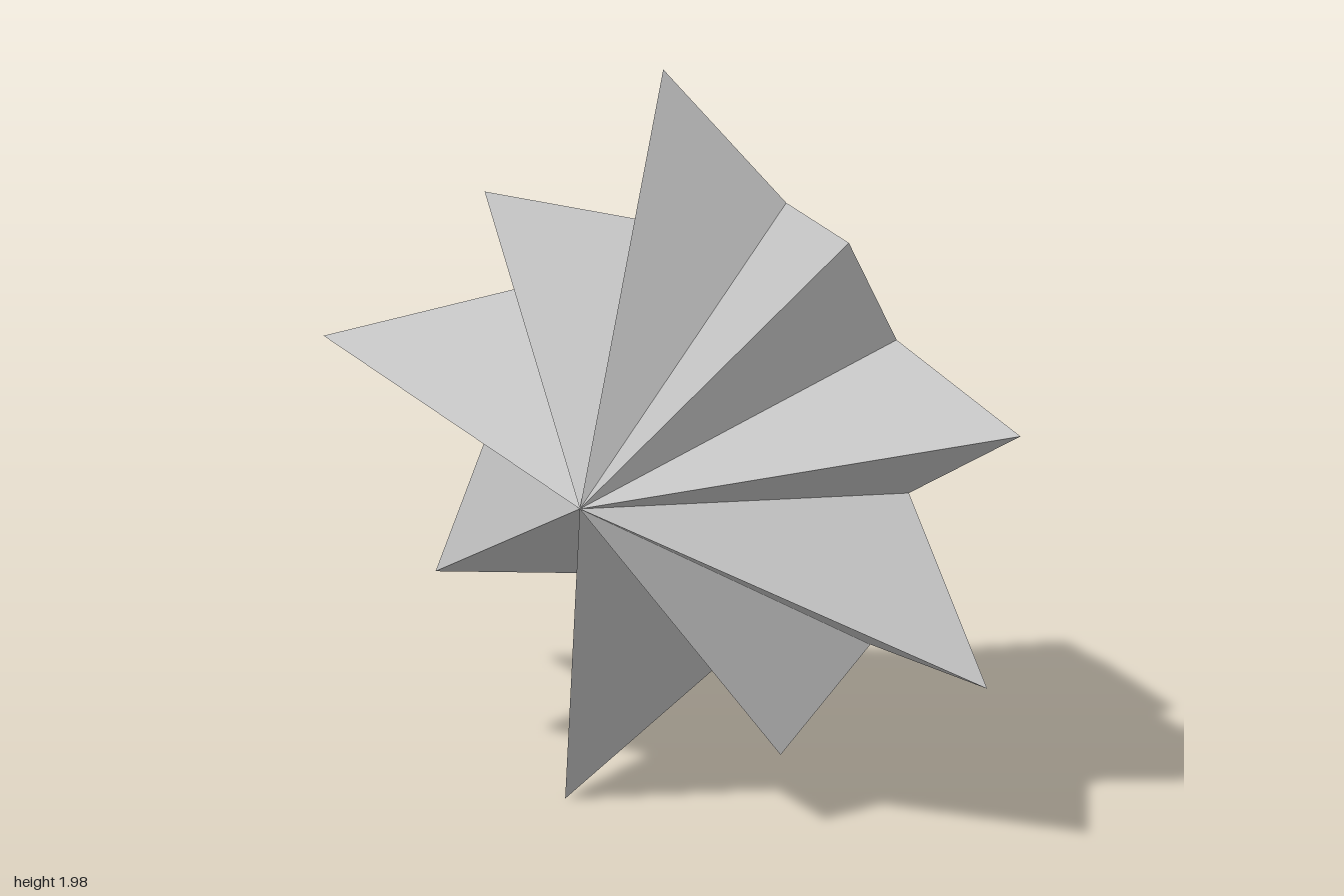
import * as THREE from 'three';

export function createModel() {
  const group = new THREE.Group();
  group.name = 'facetedStar';
  const grey = new THREE.MeshStandardMaterial({ color: 0xc0c0c0 });
  grey.name = 'grey';
  grey.flatShading = true;

  // Uneven outline, counter-clockwise from the top: tip, valley, tip, valley...
  const outline = [
    [-0.03, 1.98], [-0.205, 1.49], [-0.54, 1.57], [-0.54, 1.255],
    [-1, 1.11], [-0.65, 0.83], [-0.68, 0.54], [-0.34, 0.53],
    [-0.31, 0], [0.025, 0.355], [0.305, 0.22], [0.45, 0.475],
    [0.895, 0.495], [0.56, 0.895], [0.99, 1.18], [0.525, 1.295],
    [0.5, 1.61], [0.21, 1.605],
  ];
  const tipZ = -0.03, valleyZ = -0.232, apexZ = 0.457, centreY = 0.97;
  const rim = outline.map(([x, y], i) => [x, y, i % 2 ? valleyZ : tipZ]);

  // Fan of flat facets joining the rim to an apex on one side
  const addFan = (name, side) => {
    const apex = [0, centreY, side * apexZ];
    const points = [];
    rim.forEach((a, i) => {
      const b = rim[(i + 1) % rim.length];
      points.push(...apex, ...(side > 0 ? a : b), ...(side > 0 ? b : a));
    });
    const geometry = new THREE.BufferGeometry();
    geometry.setAttribute('position', new THREE.Float32BufferAttribute(points, 3));
    geometry.computeVertexNormals();
    const mesh = new THREE.Mesh(geometry, grey);
    mesh.name = name;
    group.add(mesh);
  };
  addFan('frontFacets', 1);
  addFan('backFacets', -1);
  return group;
}
